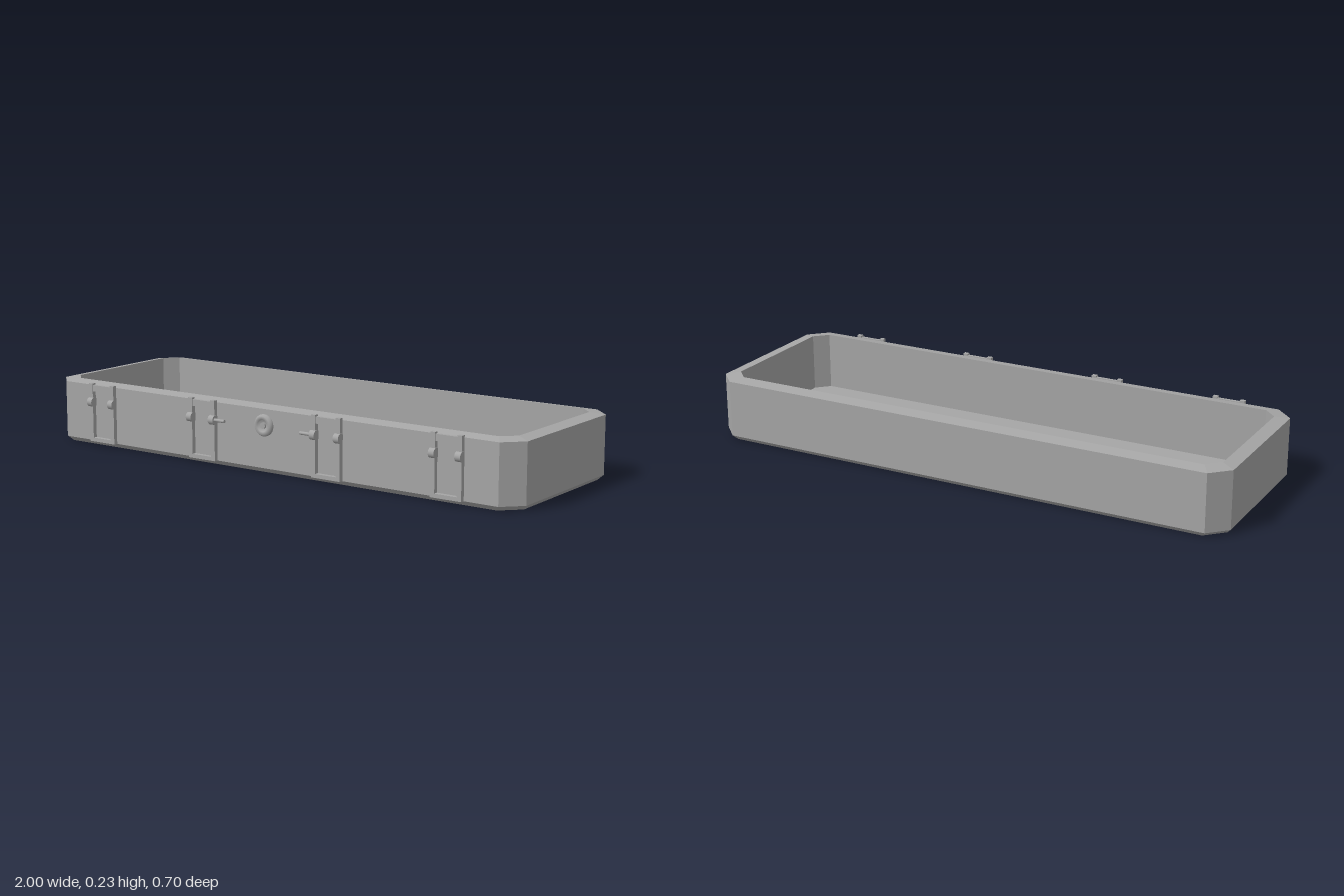
import * as THREE from 'three';

const grey = new THREE.MeshStandardMaterial({ color: 0xa6a6a6 });
grey.name = 'grey';

const FRONT = 0.32, BACK = -0.347;

function add(parent, name, geometry, x = 0, y = 0, z = 0) {
  const mesh = new THREE.Mesh(geometry, grey);
  mesh.name = name;
  mesh.position.set(x, y, z);
  parent.add(mesh);
  return mesh;
}

// Rectangle with cut corners, inset from the tray's outer edge
function ring(inset, cut, y) {
  const x = 1 - inset, f = FRONT - inset, b = BACK + inset;
  return [
    [x - cut, f], [x, f - cut], [x, b + cut], [x - cut, b],
    [-x + cut, b], [-x, b + cut], [-x, f - cut], [-x + cut, f],
  ].map(([px, pz]) => new THREE.Vector3(px, y, pz));
}

// Walls between successive rings, with the underside and inner floor capped
function trayGeometry() {
  const rings = [
    ring(0.016, 0.063, 0), ring(0, 0.065, 0.017), ring(0, 0.065, 0.227),
    ring(0.048, 0.046, 0.235), ring(0.048, 0.046, 0.022),
  ];
  const pos = [];
  const tri = (...pts) => pts.forEach((p) => pos.push(p.x, p.y, p.z));
  for (let r = 0; r < rings.length - 1; r++) {
    for (let i = 0; i < 8; i++) {
      const j = (i + 1) % 8;
      const a = rings[r][i], b = rings[r][j], c = rings[r + 1][j], d = rings[r + 1][i];
      tri(a, b, c);
      tri(a, c, d);
    }
  }
  const bottom = rings[0], floor = rings[rings.length - 1];
  for (let i = 1; i < 7; i++) {
    tri(bottom[0], bottom[i + 1], bottom[i]);
    tri(floor[0], floor[i], floor[i + 1]);
  }
  const g = new THREE.BufferGeometry();
  g.setAttribute('position', new THREE.Float32BufferAttribute(pos, 3));
  g.computeVertexNormals();
  return g;
}

// Latch: two upright straps, a foot bar, a top bar and two hinge knuckles
function latch(x) {
  const g = new THREE.Group();
  g.name = 'latch';
  g.position.set(x, 0, FRONT);
  for (const s of [-1, 1]) {
    add(g, 'latchStrap', new THREE.BoxGeometry(0.018, 0.218, 0.016), s * 0.051, 0.126, 0.008);
    const knuckle = add(g, 'latchKnuckle', new THREE.CylinderGeometry(0.0175, 0.0175, 0.022, 16), s * 0.05, 0.165, 0.0115);
    knuckle.rotation.z = Math.PI / 2;
  }
  add(g, 'latchFoot', new THREE.BoxGeometry(0.1, 0.014, 0.016), 0, 0.024, 0.008);
  add(g, 'latchTopBar', new THREE.BoxGeometry(0.085, 0.024, 0.012), 0, 0.217, 0.007);
  return g;
}

// Round lock: bevelled ring with a sunken centre and a small core
function lock() {
  const g = new THREE.Group();
  g.name = 'lock';
  g.position.set(0, 0.17, FRONT);
  const profile = [[0.039, 0], [0.039, 0.006], [0.033, 0.014], [0.021, 0.014], [0.019, 0.005], [0, 0.005]]
    .map(([r, h]) => new THREE.Vector2(r, h));
  const geo = new THREE.LatheGeometry(profile, 24);
  geo.rotateX(Math.PI / 2);
  add(g, 'lockRing', geo);
  const core = add(g, 'lockCore', new THREE.CylinderGeometry(0.011, 0.011, 0.008, 16), 0, 0, 0.008);
  core.rotation.x = Math.PI / 2;
  return g;
}

export function createModel() {
  const model = new THREE.Group();
  model.name = 'caseTray';
  add(model, 'tray', trayGeometry());
  for (const s of [-1, 1]) {
    model.add(latch(s * 0.747), latch(s * 0.27));
    // Small lever pointing from the inner latch towards the lock
    const lever = add(model, 'lever', new THREE.CylinderGeometry(0.006, 0.006, 0.055, 10), s * 0.192, 0.166, FRONT + 0.016);
    lever.rotation.z = Math.PI / 2;
  }
  model.add(lock());
  return model;
}
